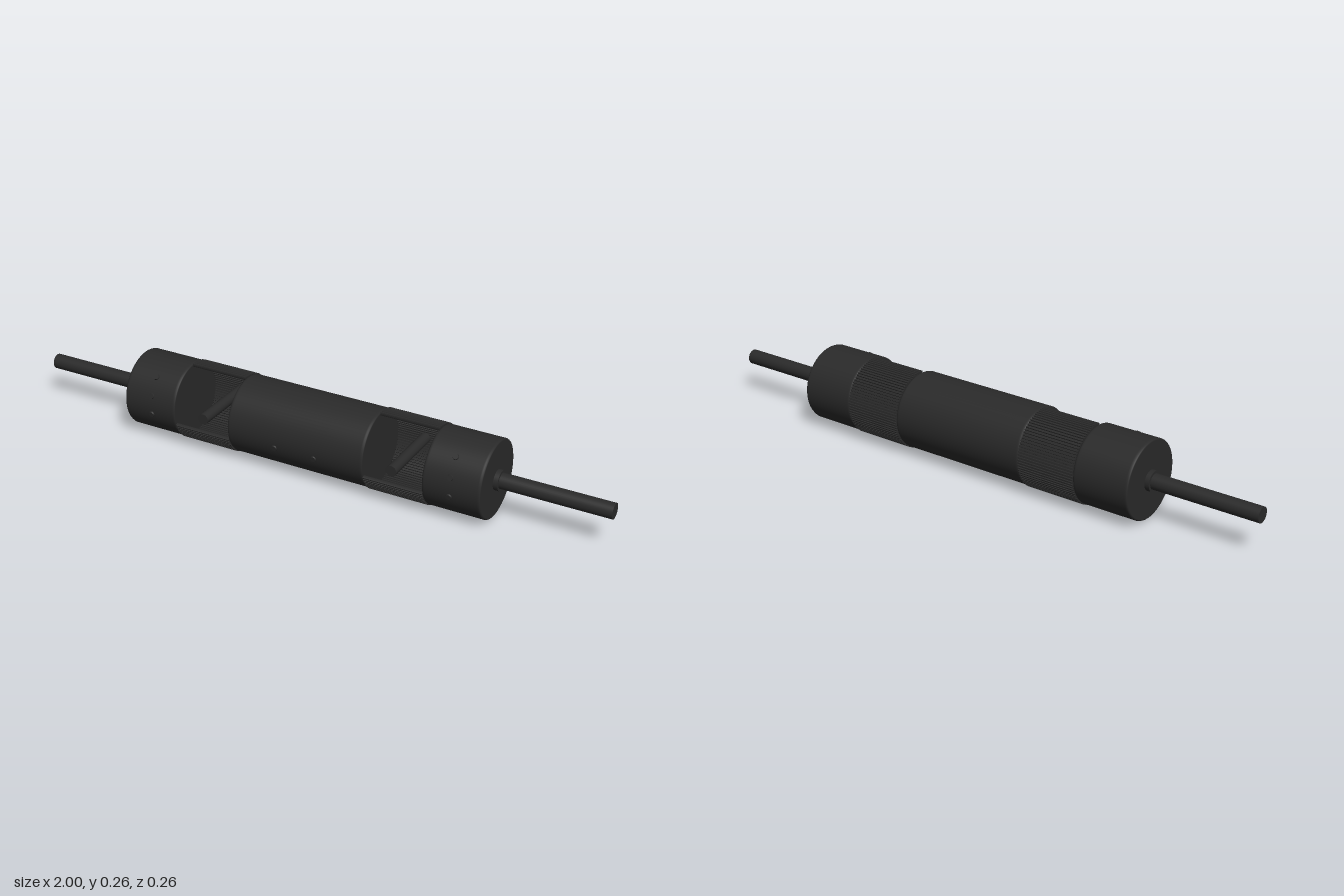
import * as THREE from 'three';

const CY = 0.13, R = 0.127;

export function createModel() {
  const model = new THREE.Group();
  model.name = 'ribbedCylinder';
  const black = new THREE.MeshStandardMaterial({ color: 0x2a2a2a });
  black.name = 'charcoal';

  const add = (name, geometry, x = 0, y = CY, z = 0) => {
    const mesh = new THREE.Mesh(geometry, black);
    mesh.name = name;
    mesh.position.set(x, y, z);
    model.add(mesh);
    return mesh;
  };

  // Solid drum along x with softened rims
  const drum = (name, x0, x1) => {
    const b = 0.005;
    const profile = [[0, x0], [R - b, x0], [R - b * 0.3, x0 + b * 0.3], [R, x0 + b], [R, x0 + 2 * b],
      [R, x1 - 2 * b], [R, x1 - b], [R - b * 0.3, x1 - b * 0.3], [R - b, x1], [0, x1]]
      .map(([r, x]) => new THREE.Vector2(r, x));
    add(name, new THREE.LatheGeometry(profile, 72).rotateZ(-Math.PI / 2));
  };
  const rod = (name, r, x0, x1) =>
    add(name, new THREE.CylinderGeometry(r, r, x1 - x0, 32).rotateZ(Math.PI / 2), (x0 + x1) / 2);

  // Open ribbed shell, gap facing the upper front
  const ribbedShell = (width) => {
    const start = THREE.MathUtils.degToRad(86), end = THREE.MathUtils.degToRad(342);
    const ribs = 64, outer = [], inner = [];
    for (let i = 0; i < ribs; i++) {
      for (const [f, lift] of [[0, 0], [0.12, 1], [0.55, 1], [0.67, 0]]) {
        const t = start + (end - start) * (i + f) / ribs;
        const at = (r) => new THREE.Vector2(-r * Math.cos(t), r * Math.sin(t));
        outer.push(at(0.1265 + 0.0035 * lift));
        inner.push(at(0.122 - 0.0035 * lift));
      }
    }
    const shape = new THREE.Shape([...outer, ...inner.reverse()]);
    return new THREE.ExtrudeGeometry(shape, { depth: width, bevelEnabled: false })
      .translate(0, 0, -width / 2).rotateY(Math.PI / 2);
  };

  // Small screw head on the drum surface, angle measured up from the front
  const screw = (x, degrees) => {
    const t = THREE.MathUtils.degToRad(degrees);
    const mesh = add('screw', new THREE.CylinderGeometry(0.009, 0.011, 0.008, 16),
      x, CY + R * Math.sin(t), R * Math.cos(t));
    mesh.rotation.x = Math.PI / 2 - t;
  };

  drum('centreDrum', -0.24, 0.24);
  const shell = ribbedShell(0.2);
  for (const s of [-1, 1]) {
    const span = (a, b) => (s > 0 ? [a, b] : [-b, -a]);
    drum('endDrum', ...span(0.44, 0.63));
    rod('collar', 0.033, ...span(0.62, 0.645));
    rod('shaft', 0.025, ...span(0.63, 1));
    add('ribbedShell', shell, s * 0.34);

    // Peg reaching from the shell's back wall out through the gap
    add('peg', new THREE.CylinderGeometry(0.018, 0.018, 0.24, 24).rotateX(Math.PI / 2), s * 0.335, 0.135, 0);

    screw(s * 0.07, -11);
    for (const angle of [-11, 18, 47]) screw(s * 0.53, angle);
  }
  return model;
}
